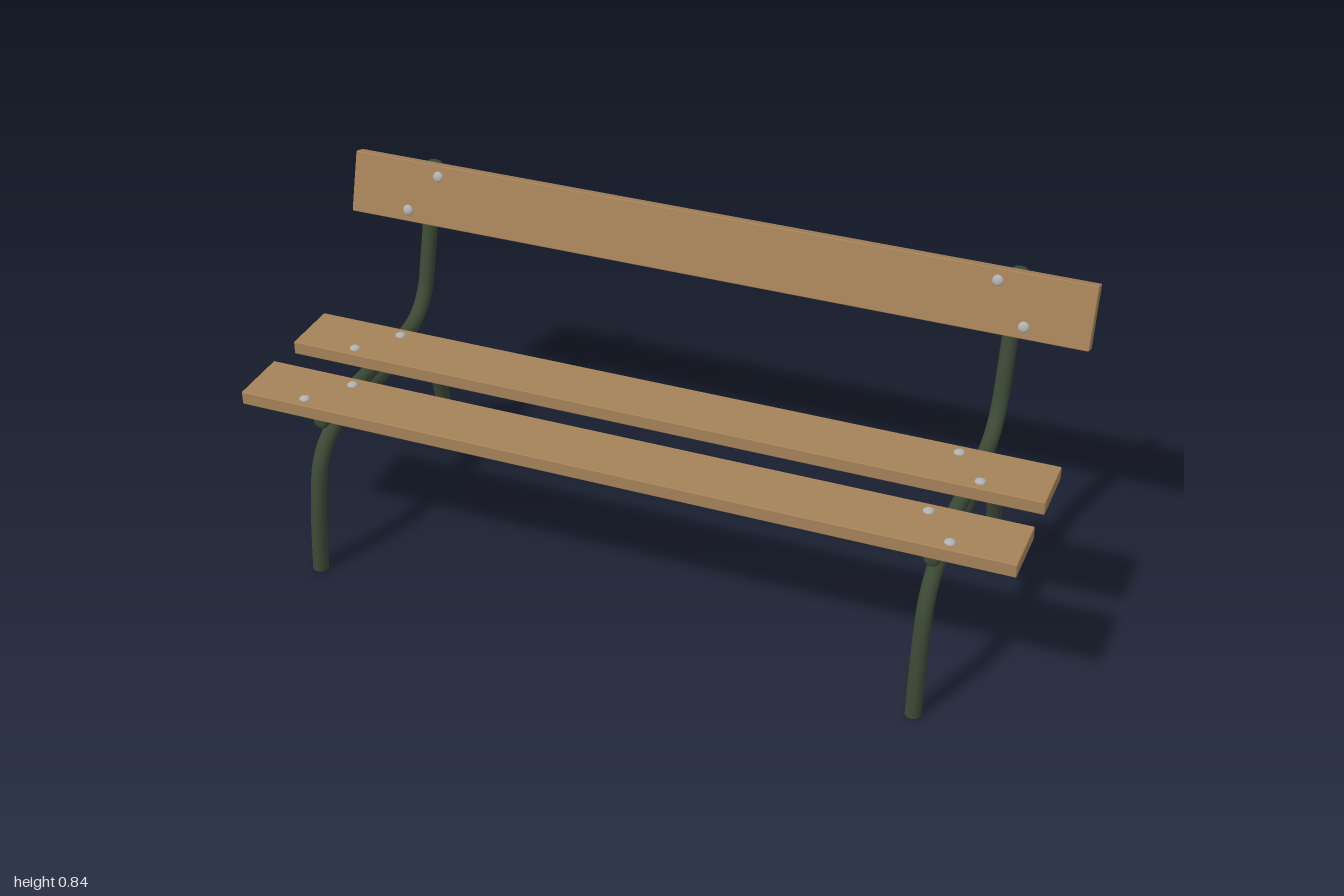
import * as THREE from 'three';
import { RoundedBoxGeometry } from 'three/addons/geometries/RoundedBoxGeometry.js';

const wood = new THREE.MeshStandardMaterial({ name: 'wood', color: 0xa58259 });
const greenMetal = new THREE.MeshStandardMaterial({ name: 'green metal', color: 0x3b4835 });
const steel = new THREE.MeshStandardMaterial({ name: 'steel', color: 0xb0b0ae });

const R = 0.0205; // tube radius
const FRAME_X = 0.795;

function add(parent, name, geometry, material) {
  const mesh = new THREE.Mesh(geometry, material);
  mesh.name = name;
  parent.add(mesh);
  return mesh;
}

// Path in the side plane from [z, y] points: 2 points make a line, 4 a bezier
function sidePath(...pieces) {
  const path = new THREE.CurvePath();
  for (const piece of pieces) {
    const p = piece.map(([z, y]) => new THREE.Vector3(0, y, z));
    path.add(p.length === 2 ? new THREE.LineCurve3(...p) : new THREE.CubicBezierCurve3(...p));
  }
  return path;
}

// Bent tube forming the front and back legs, cut flat at the ground
function addLegs(frame) {
  const path = sidePath(
    [[0.38, -0.004], [0.371, 0.13], [0.364, 0.19], [0.346, 0.265]],
    [[0.346, 0.265], [0.328, 0.335], [0.265, 0.366], [0.21, 0.366]],
    [[0.21, 0.366], [-0.1, 0.366]],
    [[-0.1, 0.366], [-0.19, 0.36], [-0.26, 0.315], [-0.3, 0.237]],
    [[-0.3, 0.237], [-0.328, 0.175], [-0.343, 0.09], [-0.362, -0.004]],
  );
  const tube = new THREE.TubeGeometry(path, 80, R, 20);
  const pos = tube.attributes.position;
  for (let i = 0; i < pos.count; i++) pos.setY(i, Math.max(0, pos.getY(i)));
  add(frame, 'legTube', tube, greenMetal);
  for (const z of [0.38, -0.361]) {
    const foot = add(frame, 'footCap', new THREE.CircleGeometry(R, 20), greenMetal);
    foot.rotation.x = Math.PI / 2;
    foot.position.set(0, 0.0005, z);
  }
}

// Bent tube carrying the seat and rising into the back support
function addSupport(frame) {
  const path = sidePath(
    [[0.312, 0.408], [-0.14, 0.408]],
    [[-0.14, 0.408], [-0.215, 0.408], [-0.268, 0.445], [-0.289, 0.51]],
    [[-0.289, 0.51], [-0.374, 0.811]],
  );
  add(frame, 'supportTube', new THREE.TubeGeometry(path, 80, R, 20), greenMetal);
  // softly rounded plugs close both ends
  for (const [t, sign] of [[0, -1], [1, 1]]) {
    const dome = new THREE.LatheGeometry([
      [R, 0], [R * 0.93, 0.005], [R * 0.75, 0.009], [R * 0.5, 0.0105], [0, 0.011],
    ].map(([x, y]) => new THREE.Vector2(x, y)), 20);
    const cap = add(frame, 'tubeEnd', dome, greenMetal);
    cap.position.copy(path.getPointAt(t));
    cap.quaternion.setFromUnitVectors(
      new THREE.Vector3(0, 1, 0), path.getTangentAt(t).multiplyScalar(sign));
  }
}

// Plank with its bolted face up and two staggered bolts over each frame
function makeSlat(name) {
  const slat = new THREE.Group();
  slat.name = name;
  add(slat, 'plank', new RoundedBoxGeometry(2, 0.036, 0.164, 2, 0.003), wood);
  const dome = new THREE.SphereGeometry(0.0145, 16, 6, 0, Math.PI * 2, 0, Math.PI / 2);
  dome.scale(1, 0.55, 1);
  for (const side of [-1, 1]) {
    for (const [x, z] of [[0.755, -0.0515], [0.835, 0.0515]]) {
      add(slat, 'bolt', dome, steel).position.set(side * x, 0.0175, z);
    }
  }
  return slat;
}

export function createModel() {
  const bench = new THREE.Group();
  bench.name = 'bench';

  for (const side of [-1, 1]) {
    const frame = new THREE.Group();
    frame.name = side > 0 ? 'leftFrame' : 'rightFrame';
    frame.position.x = side * FRAME_X;
    addLegs(frame);
    addSupport(frame);
    bench.add(frame);
  }

  const frontSlat = makeSlat('frontSeatSlat');
  frontSlat.position.set(0, 0.448, 0.263);
  const rearSlat = makeSlat('rearSeatSlat');
  rearSlat.position.set(0, 0.448, -0.003);
  const backSlat = makeSlat('backrestSlat');
  backSlat.position.set(0, 0.753, -0.316);
  backSlat.rotation.x = Math.PI / 2 - 0.28;
  bench.add(frontSlat, rearSlat, backSlat);

  return bench;
}
